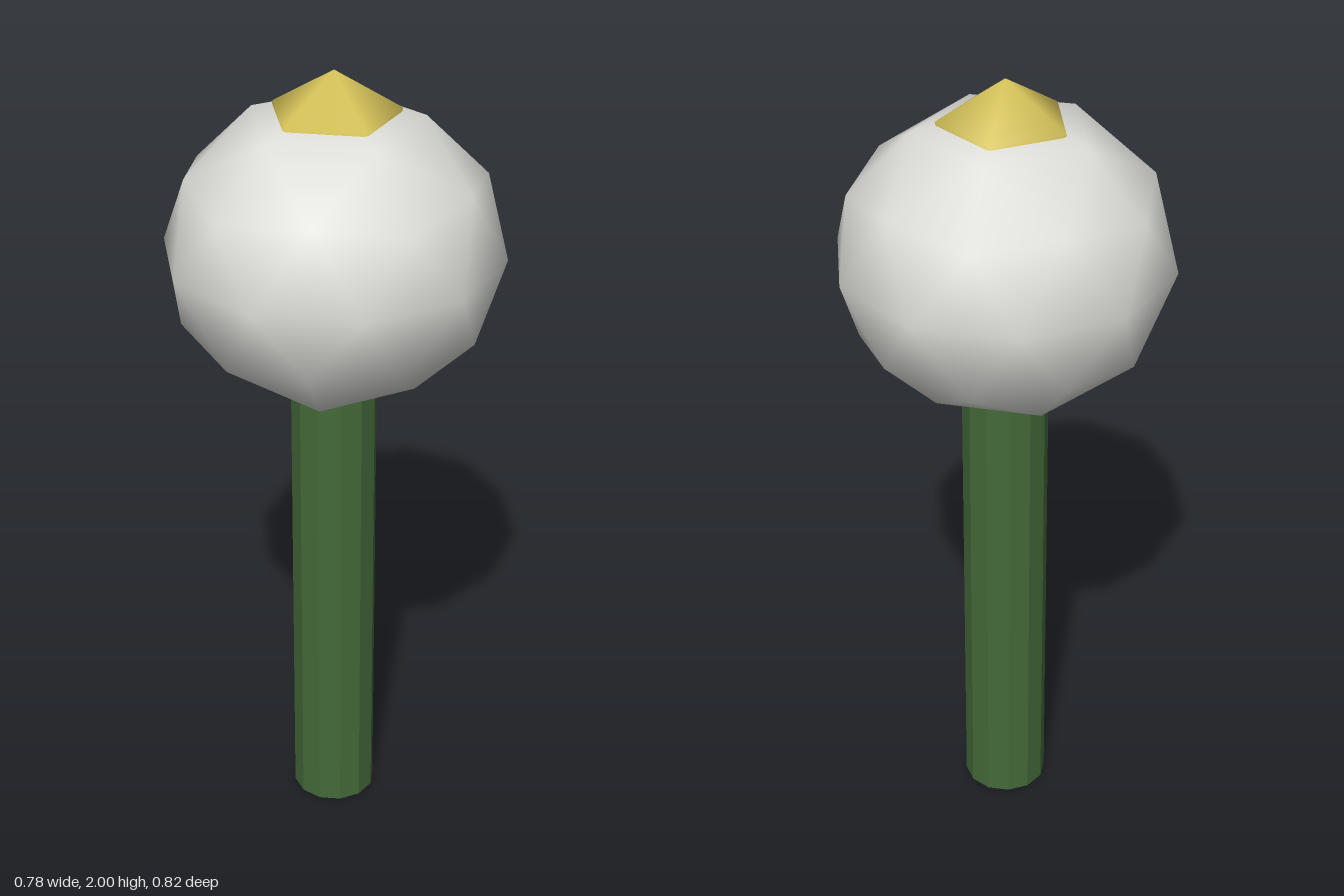
import * as THREE from 'three';

const material = (name, color) => {
  const m = new THREE.MeshStandardMaterial({ color });
  m.name = name;
  return m;
};

// Icosphere with a vertex at each pole and smooth normals
function uprightIcosphere(radius, detail) {
  const geo = new THREE.IcosahedronGeometry(radius, detail);
  geo.setAttribute('normal', geo.attributes.position.clone());
  geo.normalizeNormals();
  geo.rotateZ(-Math.atan(2 / (1 + Math.sqrt(5))));
  return geo;
}

export function createModel() {
  const group = new THREE.Group();
  const add = (name, geo, mat, y) => {
    const mesh = new THREE.Mesh(geo, mat);
    mesh.name = name;
    mesh.position.y = y;
    group.add(mesh);
  };

  const green = material('stem green', 0x446a39);
  green.flatShading = true;
  const white = material('soft white', 0xdededa);
  const yellow = material('pale yellow', 0xdcc95c);

  // Twelve-sided stem, its top sunk into the head
  const stemHeight = 1.25;
  add('stem', new THREE.CylinderGeometry(0.106, 0.106, stemHeight, 12), green, stemHeight / 2);

  // Slightly flattened round head
  const head = uprightIcosphere(0.41, 1);
  head.scale(1, 0.917, 1);
  add('head', head, white, 1.56);

  // Small bud whose upper cap pokes out of the head
  add('bud', uprightIcosphere(0.178, 0), yellow, 1.822);

  return group;
}
